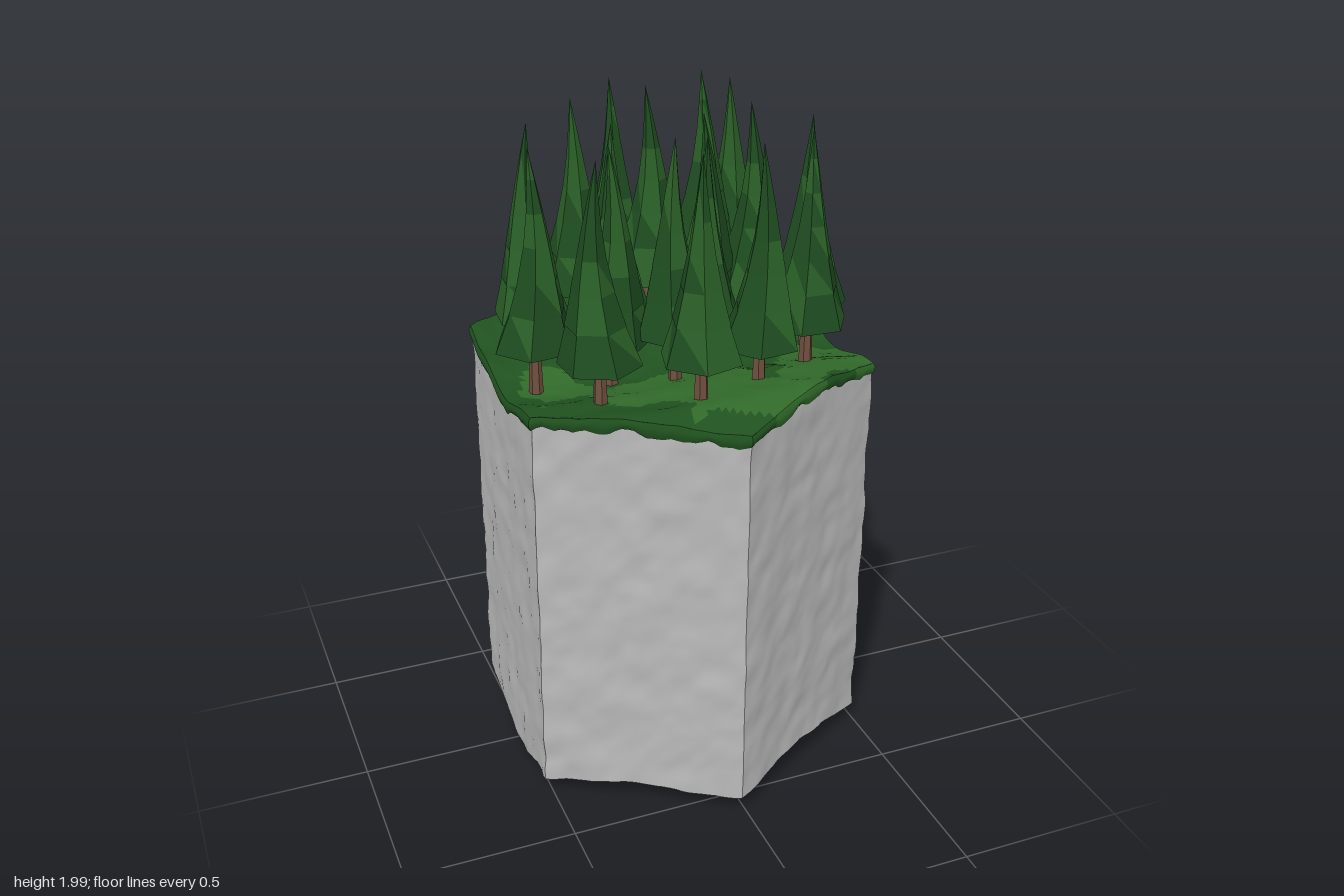
import * as THREE from 'three';

const material = (name, color) => {
  const m = new THREE.MeshStandardMaterial({ color });
  m.name = name;
  return m;
};

// Seeded generator and smooth 3D value noise in -1..1
let seed = 7;
const rand = () => (seed = (seed * 16807) % 2147483647) / 2147483647;
const hash = (x, y, z) => {
  const s = Math.sin(x * 127.1 + y * 311.7 + z * 74.7) * 43758.5453;
  return s - Math.floor(s);
};
function noise(x, y, z) {
  const i = [x, y, z].map(Math.floor);
  const [fx, fy, fz] = [x - i[0], y - i[1], z - i[2]].map((f) => f * f * (3 - 2 * f));
  let sum = 0;
  for (let c = 0; c < 8; c++) {
    const a = c & 1, b = (c >> 1) & 1, d = c >> 2;
    sum += hash(i[0] + a, i[1] + b, i[2] + d) *
      (a ? fx : 1 - fx) * (b ? fy : 1 - fy) * (d ? fz : 1 - fz);
  }
  return sum * 2 - 1;
}

// Rolling height shared by the ground and the underside
const HILLS = [[-0.6, 0.06], [-0.35, 0.105], [-0.18, 0.06], [0.05, 0.015], [0.28, 0.06], [0.43, 0.085], [0.6, 0.055]];
function hill(x, z) {
  let k = 0;
  while (k < HILLS.length - 2 && z > HILLS[k + 1][0]) k++;
  const [a, b] = [HILLS[k], HILLS[k + 1]];
  const t = THREE.MathUtils.smoothstep(z, a[0], b[0]);
  return a[1] + (b[1] - a[1]) * t + 0.01 * Math.sin(x * 7) * Math.min(1, Math.abs(z) * 3);
}
const GROUND = 1.19, RADIUS = 0.588, CENTER_X = -0.012;

// Point on one side of the hexagon, k = side, u = 0..1 along it
function hexPoint(k, u, scale = 1) {
  const a = (k * Math.PI) / 3, b = a + Math.PI / 3;
  return [
    CENTER_X + RADIUS * scale * (Math.sin(a) * (1 - u) + Math.sin(b) * u),
    RADIUS * scale * (Math.cos(a) * (1 - u) + Math.cos(b) * u),
  ];
}

// Bends a grid into a surface by a rule of u and v
function surface(nu, nv, rule) {
  const g = new THREE.PlaneGeometry(1, 1, nu, nv);
  const p = g.attributes.position, uv = g.attributes.uv;
  for (let i = 0; i < p.count; i++) p.setXYZ(i, ...rule(uv.getX(i), uv.getY(i)));
  g.computeVertexNormals();
  return g;
}

// Gives each triangle one of two materials
function patch(geo, pick) {
  const g = geo.index ? geo.toNonIndexed() : geo;
  const p = g.attributes.position;
  for (let i = 0; i < p.count; i += 3) {
    const c = [0, 1, 2].map((j) => new THREE.Vector3().fromBufferAttribute(p, i + j));
    g.addGroup(i, 3, pick(c[0].add(c[1]).add(c[2]).divideScalar(3)));
  }
  return g;
}

// Tree spots: x, z, tip height
const TREES = [
  [-0.04, -0.41, 1.96], [-0.21, -0.26, 1.95], [-0.37, -0.16, 1.92], [-0.02, -0.16, 1.99],
  [0.18, -0.235, 2.0], [0.29, -0.28, 1.96], [-0.17, -0.03, 1.93], [-0.21, 0.06, 1.9],
  [-0.43, 0.045, 1.91], [0.11, -0.045, 1.93], [0.25, -0.035, 1.95], [0.42, 0.015, 1.91],
  [-0.04, 0.12, 1.92], [0.06, 0.105, 1.91], [-0.31, 0.25, 1.92], [-0.06, 0.36, 1.94],
  [0.14, 0.295, 1.93], [0.33, 0.2, 1.93],
];
const FOLIAGE = [
  [0, 0.015], [0.118, 0], [0.08, 0.115], [0.084, 0.11], [0.058, 0.21], [0.06, 0.207],
  [0.04, 0.3], [0.025, 0.39], [0.012, 0.48], [0, 0.565],
].map((p) => new THREE.Vector2(...p));

export function createModel() {
  seed = 7;
  const rock = material('rock grey', 0xbababa);
  const greens = [material('light green', 0x316a2a), material('dark green', 0x20521f)];
  const needles = [material('light needles', 0x2a5f27), material('dark needles', 0x1e4c20)];
  const bark = material('bark brown', 0x70503f);

  const model = new THREE.Group();
  model.name = 'forestColumn';
  const add = (parent, name, geo, mat) => {
    const mesh = new THREE.Mesh(geo, mat);
    mesh.name = name;
    parent.add(mesh);
    return mesh;
  };

  // Stone walls, underside, ground and ragged turf edge, one wedge per side
  const column = new THREE.Group();
  column.name = 'column';
  model.add(column);
  const turf = (p) => (noise(p.x * 5 + 3, 1, p.z * 5) + 0.3 * noise(p.x * 17, 2, p.z * 17) - p.x * 0.6 < 0.0 ? 0 : 1);
  const ground = (x, z) => GROUND + hill(x, z) + 0.004 * noise(x * 22, 5, z * 22);
  const under = (x, z) => hill(x, z) + 0.006 * noise(x * 20, 9, z * 20);
  const edge = (k, u, y) => {
    const [x, z] = hexPoint(k, u);
    const s = 1 + 0.009 * noise(x * 18, y * 14, z * 18) + 0.004 * noise(x * 40, y * 30, z * 40);
    return [CENTER_X + (x - CENTER_X) * s, y, z * s];
  };
  for (let k = 0; k < 6; k++) {
    add(column, 'wall', surface(30, 60, (u, v) => {
      const [x, z] = hexPoint(k, u);
      const low = under(x, z);
      return edge(k, u, low + (ground(x, z) - 0.015 - low) * v);
    }), rock);
    add(column, 'underside', surface(24, 24, (u, v) => {
      const [x, z] = v === 1 ? edge(k, u, under(...hexPoint(k, u))).filter((_, i) => i !== 1) : hexPoint(k, u, v);
      const [hx, hz] = hexPoint(k, u, v);
      return [x, under(hx, hz), z];
    }), rock);
    add(column, 'ground', patch(surface(24, 24, (u, v) => {
      const [x, z] = hexPoint(k, u, (1 - v) * 1.006);
      return [x, ground(x, z), z];
    }), turf), greens);
    add(column, 'turfEdge', patch(surface(36, 3, (u, v) => {
      const [x, z] = hexPoint(k, u, 1.006);
      const drop = 0.036 + 0.012 * noise(x * 28, 3, z * 28);
      const y = ground(x, z) - drop * (1 - v);
      const s = 1 + 0.012 * Math.sin(Math.PI * v);
      return [CENTER_X + (x - CENTER_X) * s, y, z * s];
    }), turf), greens);
  }

  // Low-poly conifers
  needles.concat(bark).forEach((m) => { m.flatShading = true; });
  for (const [x, z, tip] of TREES) {
    const tree = new THREE.Group();
    tree.name = 'tree';
    const base = GROUND + hill(x, z) - 0.02;
    const bottom = tip - 0.565;
    tree.position.set(x, base, z);
    model.add(tree);

    const length = bottom - base + 0.03;
    const trunk = new THREE.CylinderGeometry(0.015, 0.021, length, 6);
    trunk.translate(0, length / 2, 0);
    add(tree, 'trunk', trunk, bark).rotation.y = rand() * 6;

    const crown = new THREE.LatheGeometry(FOLIAGE, 6);
    const p = crown.attributes.position;
    const turn = rand() * Math.PI, leanX = (rand() - 0.5) * 0.04, leanZ = (rand() - 0.5) * 0.04;
    for (let i = 0; i < p.count; i++) {
      // slight bend through the middle, straight at base and tip
      const bend = Math.sin((p.getY(i) / 0.565) * Math.PI);
      p.setXYZ(i, p.getX(i) + leanX * bend, p.getY(i), p.getZ(i) + leanZ * bend);
    }
    const shift = rand() * 50;
    const foliage = add(tree, 'foliage', patch(crown, (c) => (noise(c.x * 18 + shift, c.y * 9, c.z * 18) > 0.1 ? 0 : 1)), needles);
    foliage.position.y = bottom - base;
    foliage.rotation.y = turn;
  }
  return model;
}
